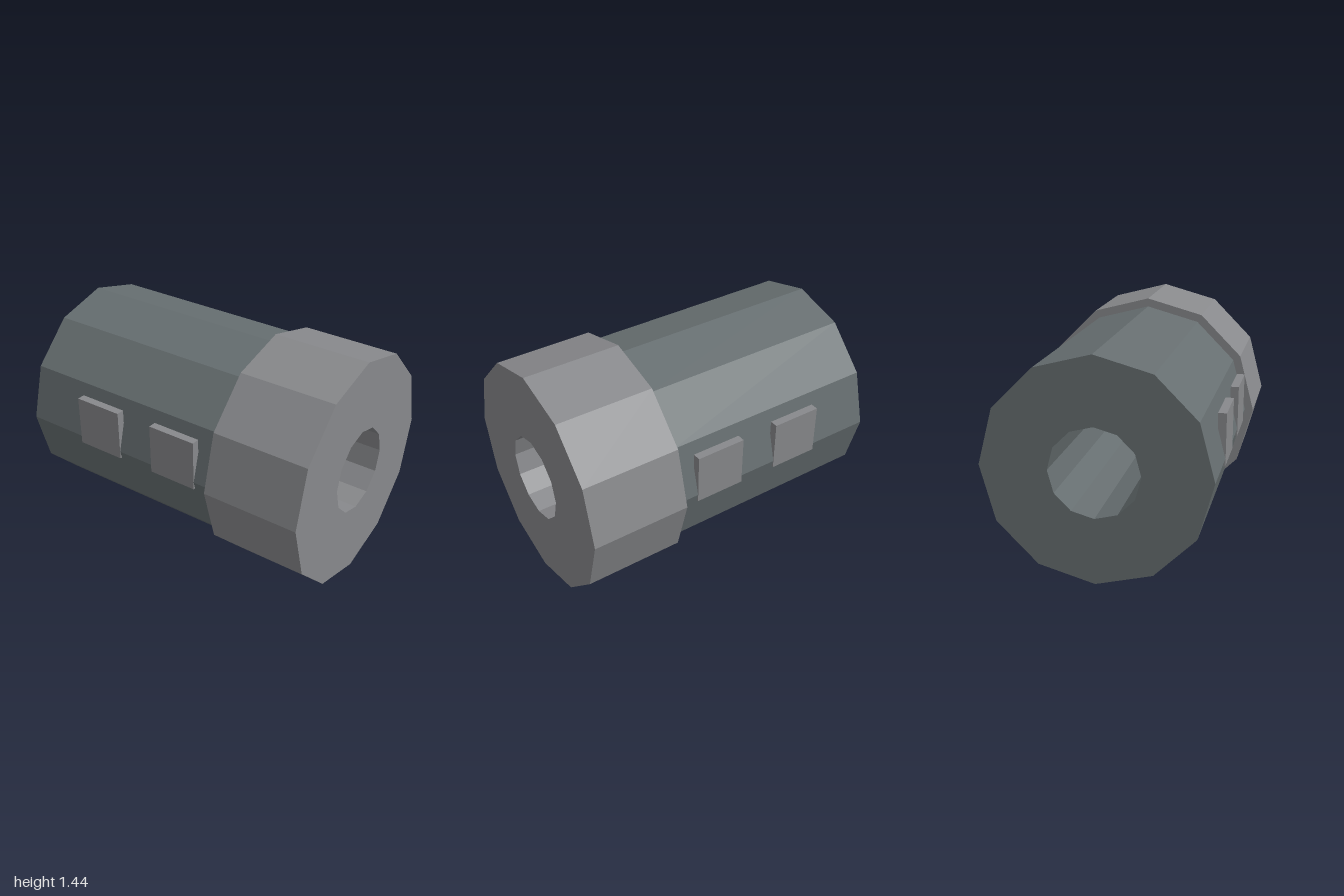
import * as THREE from 'three';

const SIDES = 12, CENTRE_Y = 0.72, BORE = 0.267;

const mat = (color) => new THREE.MeshStandardMaterial({ color, flatShading: true });

// Corners of a regular twelve-sided outline
function ring(radius) {
  return Array.from({ length: SIDES }, (_, i) => {
    const a = (i / SIDES) * Math.PI * 2;
    return new THREE.Vector2(Math.cos(a) * radius, Math.sin(a) * radius);
  });
}

// Faceted sleeve with a through bore, running from z0 to z1
function sleeve(name, radius, z0, z1, material) {
  const shape = new THREE.Shape(ring(radius));
  shape.holes.push(new THREE.Path(ring(BORE).reverse()));
  const geo = new THREE.ExtrudeGeometry(shape, { depth: z1 - z0, bevelEnabled: false });
  geo.translate(0, CENTRE_Y, z0);
  const mesh = new THREE.Mesh(geo, material);
  mesh.name = name;
  return mesh;
}

export function createModel() {
  const group = new THREE.Group();
  group.name = 'sleeveCoupling';
  const light = mat(0x88898c), dark = mat(0x666e70);

  // Long body and wider front collar
  group.add(sleeve('body', 0.667, -1, 0.39, dark));
  group.add(sleeve('collar', 0.72, 0.39, 1, light));

  // Two flat pads on each side
  const padGeo = new THREE.BoxGeometry(0.05, 0.317, 0.317);
  for (const [side, label] of [[1, 'left'], [-1, 'right']]) {
    [0.119, -0.441].forEach((z, i) => {
      const pad = new THREE.Mesh(padGeo, light);
      pad.name = `${label}${i ? 'Rear' : 'Front'}Pad`;
      pad.position.set(side * 0.643, 0.831, z);
      group.add(pad);
    });
  }
  return group;
}
